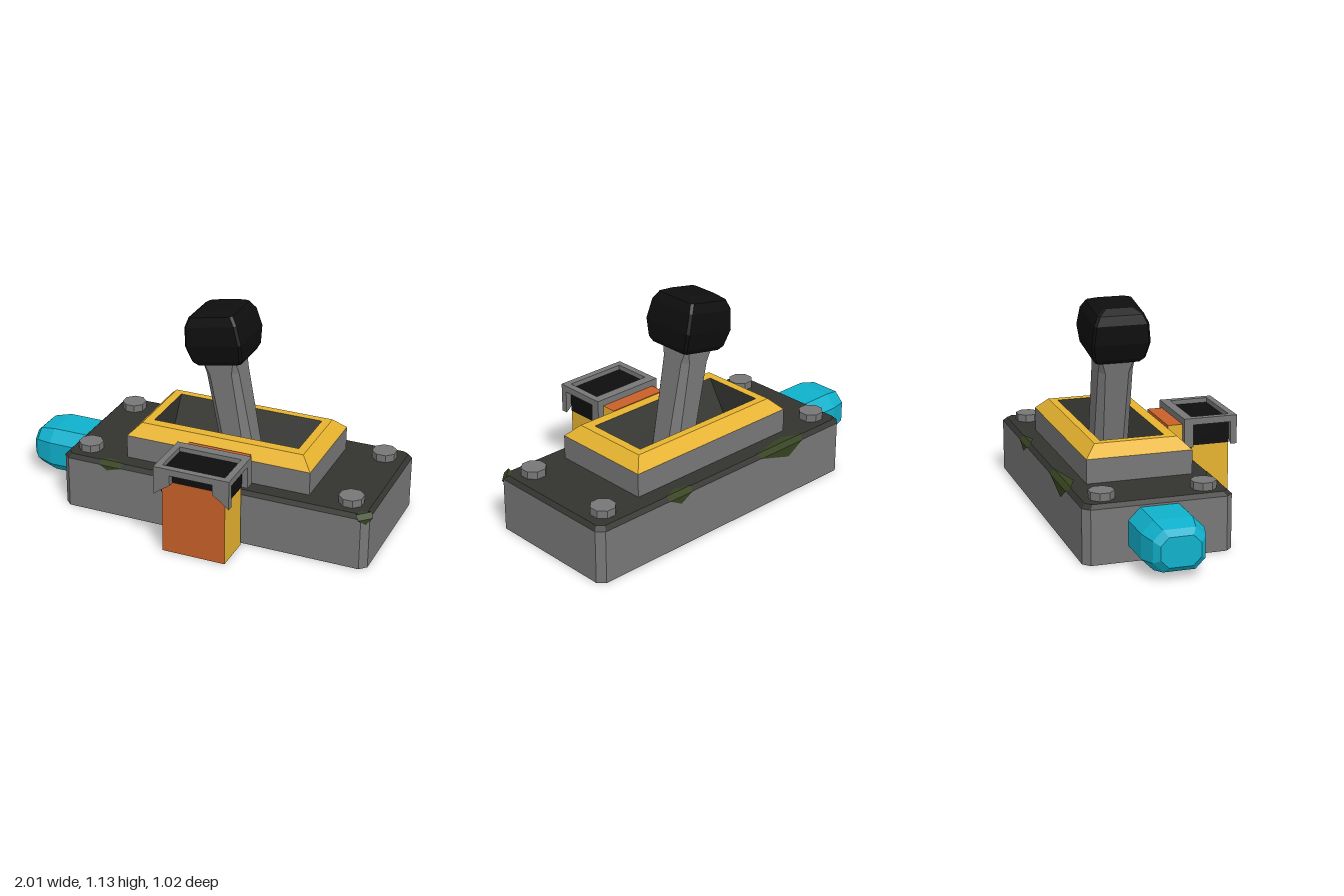
import * as THREE from 'three';

const mat = (color) => new THREE.MeshStandardMaterial({ color, flatShading: true, side: THREE.DoubleSide });
const grey = mat(0x777777), dark = mat(0x333330), black = mat(0x0e0e0e), yellow = mat(0xe6b32f);
const orange = mat(0xc9602a), cyan = mat(0x10b0cc), moss = mat(0x35421f);

// Horizontal rectangle with cut corners, counter-clockwise from above
function ring(x0, x1, z0, z1, y, c) {
  return [[x1, z1 - c], [x1, z0 + c], [x1 - c, z0], [x0 + c, z0],
    [x0, z0 + c], [x0, z1 - c], [x0 + c, z1], [x1 - c, z1]].map(([x, z]) => [x, y, z]);
}
const centredRing = (wx, wz, y, c) => ring(-wx, wx, -wz, wz, y, c);

// Skin through rings, with optional end caps
function loft(rings, capBottom = false, capTop = false) {
  const p = [];
  const n = rings[0].length;
  for (let r = 0; r < rings.length - 1; r++) {
    const a = rings[r], b = rings[r + 1];
    for (let i = 0; i < n; i++) {
      const j = (i + 1) % n;
      p.push(...a[i], ...a[j], ...b[j], ...a[i], ...b[j], ...b[i]);
    }
  }
  const top = rings[rings.length - 1], bottom = rings[0];
  for (let i = 1; i < n - 1; i++) {
    if (capTop) p.push(...top[0], ...top[i], ...top[i + 1]);
    if (capBottom) p.push(...bottom[0], ...bottom[i + 1], ...bottom[i]);
  }
  const g = new THREE.BufferGeometry();
  g.setAttribute('position', new THREE.Float32BufferAttribute(p, 3));
  g.computeVertexNormals();
  return g;
}

function add(parent, name, geometry, material) {
  const m = new THREE.Mesh(geometry, material);
  m.name = name;
  parent.add(m);
  return m;
}

// Box given by its limits
function box(parent, name, material, x0, x1, y0, y1, z0, z1) {
  const m = add(parent, name, new THREE.BoxGeometry(x1 - x0, y1 - y0, z1 - z0), material);
  m.position.set((x0 + x1) / 2, (y0 + y1) / 2, (z0 + z1) / 2);
  return m;
}

function subgroup(parent, name, x, y, z) {
  const g = new THREE.Group();
  g.name = name;
  g.position.set(x, y, z);
  parent.add(g);
  return g;
}

// Worn patch wrapped over a top edge; local +z points out of the side
function chip(parent, x, z, turn, width, depth, drop, lean) {
  const w = width / 2, e = 0.003;
  const inL = [-w, e, -0.02], inR = [w, e, -0.02];
  const outL = [-w * 0.9, -0.02, e], outR = [w * 0.9, -0.02, e];
  const p = [...inL, ...inR, lean * w, e, -depth,
    ...inL, ...outL, ...outR, ...inL, ...outR, ...inR,
    ...outL, lean * w, -drop, e, ...outR];
  const g = new THREE.BufferGeometry();
  // first face is reversed so that it looks up
  const t = p.splice(3, 3);
  p.splice(6, 0, ...t);
  [p[3], p[4], p[5], p[6], p[7], p[8]] = [p[6], p[7], p[8], p[3], p[4], p[5]];
  g.setAttribute('position', new THREE.Float32BufferAttribute(p, 3));
  g.computeVertexNormals();
  const m = add(parent, 'wornPatch', g, moss);
  m.position.set(x, 0.3, z);
  m.rotation.y = turn;
}

export function createModel() {
  const model = new THREE.Group();
  model.name = 'leverSwitch';

  // Base block with dark top and underside
  const b = (y, s, c) => ring(-0.68 + s, 1 - s, -0.51 + s, 0.25 - s, y, c);
  add(model, 'baseSides', loft([b(0, 0, 0.035), b(0.28, 0, 0.035)]), grey);
  add(model, 'baseTop', loft([b(0.28, 0, 0.035), b(0.3, 0.02, 0.03)], false, true), dark);
  add(model, 'baseUnderside', loft([b(0, 0, 0.035), b(0.001, 0, 0.035)], true), dark);

  // Worn patches on the top edges
  chip(model, -0.4, 0.25, 0, 0.13, 0.05, 0.045, -0.3);
  chip(model, 0.984, 0.234, Math.PI / 4, 0.09, 0.045, 0.05, 0);
  chip(model, -0.225, -0.51, Math.PI, 0.33, 0.065, 0.08, 0.3);
  chip(model, 0.48, -0.51, Math.PI, 0.16, 0.05, 0.06, 0);

  // Eight-sided bolts
  for (const x of [-0.57, 0.875]) for (const z of [-0.39, 0.13]) {
    const bolt = add(model, 'bolt', new THREE.CylinderGeometry(0.065, 0.065, 0.04, 8), grey);
    bolt.position.set(x, 0.32, z);
    bolt.rotation.y = Math.PI / 8;
  }

  // Collar around the lever, with bevelled rim and a trough inside
  const c = (y, s) => ring(-0.35 + s, 0.66 - s, -0.4 + s, 0.15 - s, y, 0);
  const slot = ring(-0.245, 0.555, -0.3, 0.035, 0.485, 0);
  add(model, 'collar', loft([c(0.3, 0), c(0.425, 0)]), grey);
  add(model, 'collarRim', loft([c(0.425, 0), c(0.485, 0.06), slot]), yellow);
  const floor = ring(-0.245, 0.555, -0.195, -0.07, 0.31, 0);
  // trough walls run downward so that they face inward
  add(model, 'trough', loft([slot, floor], false, true), dark);

  // Tilted lever
  const lever = subgroup(model, 'lever', 0.185, 0.3, -0.132);
  lever.rotation.z = 0.19;
  add(lever, 'stem', loft([
    centredRing(0.09, 0.092, 0, 0.04), centredRing(0.09, 0.092, 0.48, 0.03),
    centredRing(0.09, 0.092, 0.57, 0.003)]), grey);
  const knob = [[0.545, 0.12], [0.57, 0.138], [0.66, 0.155], [0.76, 0.144], [0.805, 0.122], [0.828, 0.08]];
  const knobMesh = add(lever, 'knob',
    loft(knob.map(([y, w]) => centredRing(w, w, y, 0.012)), true, true), black);
  knobMesh.position.x = 0.012;

  // Cable stub on the right side
  const stub = subgroup(model, 'cableStub', -0.68, 0.147, -0.132);
  stub.rotation.z = Math.PI / 2;
  add(stub, 'cableSleeve', loft([
    centredRing(0.123, 0.157, -0.02, 0.06), centredRing(0.123, 0.157, 0.2, 0.06),
    centredRing(0.104, 0.13, 0.29, 0.05), centredRing(0.075, 0.1, 0.32, 0.04)], true, true), cyan);

  // Flat strap: out of the collar, then down to the ground
  const strap = subgroup(model, 'strap', 0, 0, 0);
  const sided = [yellow, yellow, orange, yellow, orange, orange];
  box(strap, 'strapDrop', sided, 0, 0.34, 0, 0.4, 0.27, 0.475);
  box(strap, 'strapBridge', sided, 0, 0.34, 0.335, 0.455, 0.14, 0.23);

  // Frame holding the strap elbow
  const frame = subgroup(model, 'strapFrame', 0, 0, 0);
  box(frame, 'frameCore', black, -0.004, 0.344, 0.337, 0.465, 0.25, 0.474);
  box(frame, 'frameBack', grey, -0.03, 0.375, 0.335, 0.49, 0.22, 0.27);
  for (const x of [-0.03, 0.34]) box(frame, 'frameTopSide', grey, x, x + 0.035, 0.455, 0.49, 0.27, 0.476);
  // front plate: arch with slanted lower corners
  const half = [[-0.2025, 0.335], [-0.17, 0.362], [-0.115, 0.4], [-0.115, 0.455]];
  const outline = [...half, ...half.map(([x, y]) => [-x, y]).reverse(), [0.2025, 0.49], [-0.2025, 0.49]];
  const plate = new THREE.Shape(outline.map(([x, y]) => new THREE.Vector2(x, y)));
  const front = add(frame, 'frameFront',
    new THREE.ExtrudeGeometry(plate, { depth: 0.035, bevelEnabled: false }), grey);
  front.position.set(0.1725, 0, 0.475);

  return model;
}
